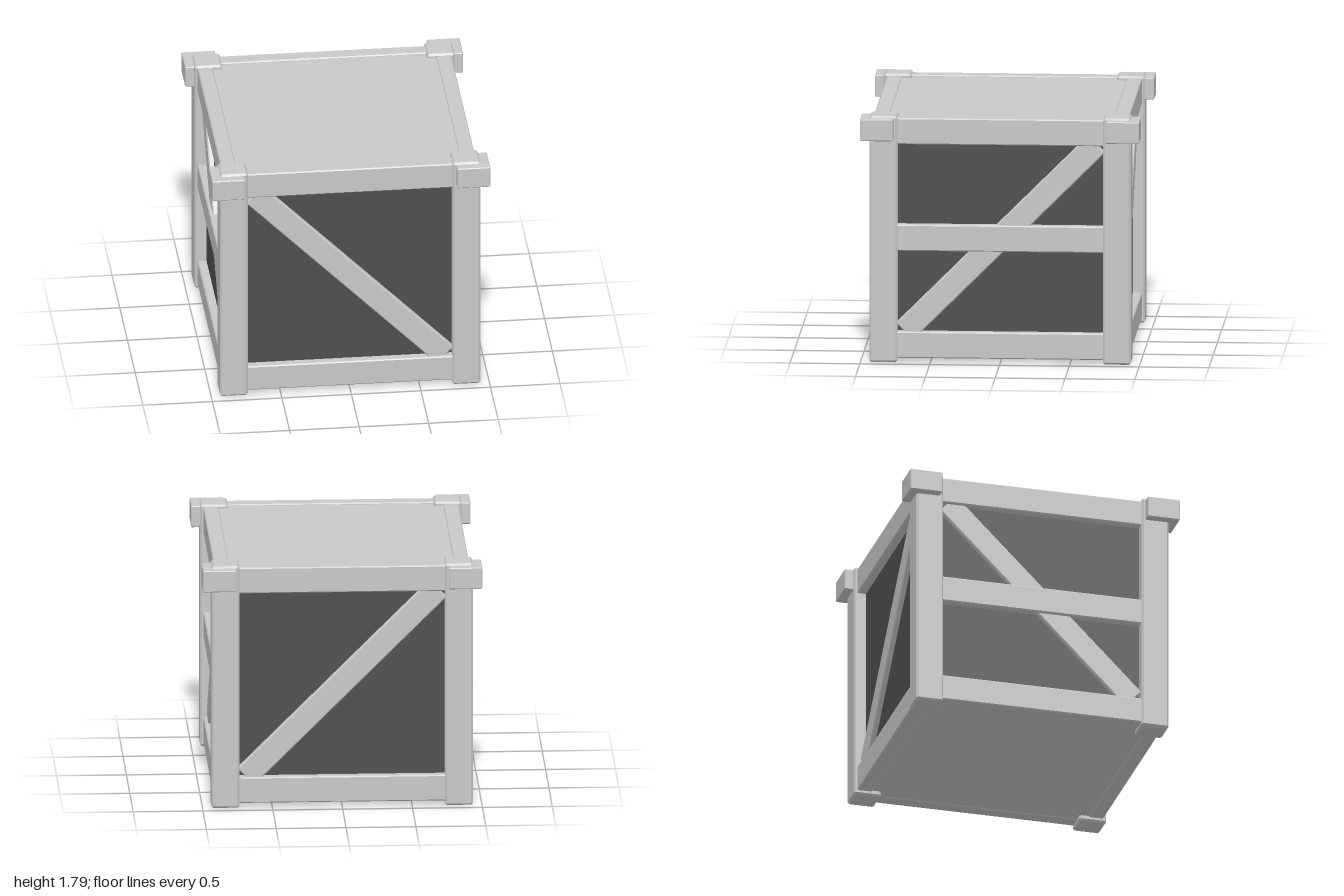
import * as THREE from 'three';
import { ConvexGeometry } from 'three/addons/geometries/ConvexGeometry.js';

const frame = new THREE.MeshStandardMaterial({ color: 0xc8c8c8 });
frame.name = 'light grey frame';
const dark = new THREE.MeshStandardMaterial({ color: 0x4e4e4e });
dark.name = 'dark grey panel';

// Box with chamfered edges, as the hull of three slightly shrunken copies
function chamferBox(w, h, d, bevel) {
  const points = [];
  for (const sx of [-1, 1]) for (const sy of [-1, 1]) for (const sz of [-1, 1]) {
    const x = sx * w / 2, y = sy * h / 2, z = sz * d / 2;
    const bx = sx * bevel, by = sy * bevel, bz = sz * bevel;
    points.push(
      new THREE.Vector3(x, y - by, z - bz),
      new THREE.Vector3(x - bx, y, z - bz),
      new THREE.Vector3(x - bx, y - by, z));
  }
  return new ConvexGeometry(points);
}

function add(parent, name, geometry, material, x, y, z) {
  const mesh = new THREE.Mesh(geometry, material);
  mesh.name = name;
  mesh.position.set(x, y, z);
  parent.add(mesh);
  return mesh;
}

export function createModel() {
  const crate = new THREE.Group();
  crate.name = 'crate';

  // Dark inner body, closed by a light lid and floor
  add(crate, 'sidePanels', new THREE.BoxGeometry(1.7, 1.6, 1.7), dark, 0, 0.9, 0);
  add(crate, 'lid', new THREE.BoxGeometry(1.62, 0.1, 1.62), frame, 0, 1.712, 0);
  add(crate, 'floor', new THREE.BoxGeometry(1.62, 0.1, 1.62), frame, 0, 0.088, 0);

  // Corner posts with caps
  const post = chamferBox(0.2, 1.79, 0.2, 0.014);
  const cap = chamferBox(0.238, 0.158, 0.238, 0.006);
  for (const sx of [-1, 1]) for (const sz of [-1, 1]) {
    add(crate, 'cornerPost', post, frame, sx * 0.836, 0.895, sz * 0.836);
    add(crate, 'cornerCap', cap, frame, sx * 0.881, 1.697, sz * 0.881);
  }

  // Rails and a diagonal brace on every side, a middle rail on left and right
  const rail = chamferBox(1.6, 0.19, 0.11, 0.008);
  const brace = chamferBox(1.945, 0.174, 0.08, 0.008);
  ['front', 'right', 'back', 'left'].forEach((name, i) => {
    const side = new THREE.Group();
    side.name = name + 'Side';
    side.rotation.y = i * Math.PI / 2;
    crate.add(side);
    add(side, 'topRail', rail, frame, 0, 1.678, 0.858);
    add(side, 'bottomRail', rail, frame, 0, 0.125, 0.858);
    if (i % 2) add(side, 'middleRail', rail, frame, 0, 0.903, 0.858);
    const diagonal = add(side, 'diagonalBrace', brace, frame, 0, 0.905, 0.848);
    diagonal.rotation.z = (i === 0 || i === 3 ? -1 : 1) * Math.PI / 4;
  });

  return crate;
}
